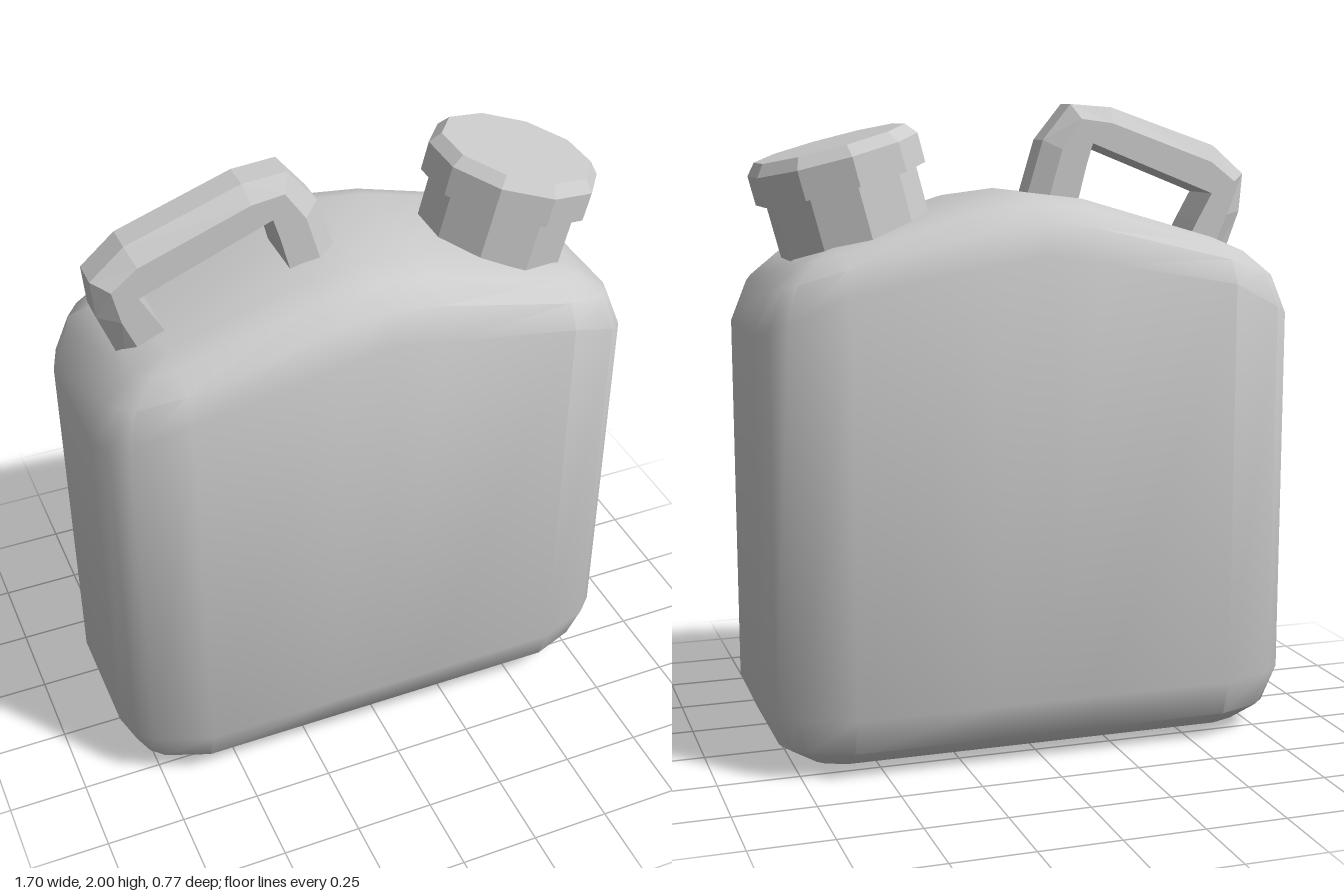
import * as THREE from 'three';
import { toCreasedNormals } from 'three/addons/utils/BufferGeometryUtils.js';

const smooth = new THREE.MeshStandardMaterial({ color: 0xcccccc });
const faceted = new THREE.MeshStandardMaterial({ color: 0xcccccc, flatShading: true });

// Piecewise-linear height over |x|
function heightAt(table, x) {
  const a = Math.abs(x);
  let i = 1;
  while (i < table.length - 1 && a > table[i][0]) i++;
  const [x0, y0] = table[i - 1], [x1, y1] = table[i];
  return y0 + (y1 - y0) * (a - x0) / (x1 - x0);
}

// Indexed geometry from points and quads, corners counter-clockwise from outside
function quadGeometry(points, quads) {
  const index = [];
  const same = (i, j) => points[i].distanceTo(points[j]) < 1e-6;
  for (const [a, b, c, d] of quads) {
    for (const [p, q, r] of [[a, b, c], [a, c, d]]) {
      if (!same(p, q) && !same(q, r) && !same(p, r)) index.push(p, q, r);
    }
  }
  const g = new THREE.BufferGeometry().setFromPoints(points);
  g.setIndex(index);
  return g;
}

// Rounded tank: one plan outline stacked in rings that round over at both ends
function tankGeometry() {
  const coreX = 0.6, coreZ = 0.19;
  const corner = [[0.25, 0], [0.22, 0.08], [0.17, 0.13], [0, 0.195]];
  const outline = [];
  const addCorner = (sx, sz, reverse) => {
    for (const [ox, oz] of reverse ? [...corner].reverse() : corner) {
      outline.push([sx * coreX, sz * coreZ, sx * ox, sz * oz]);
    }
  };
  const addEdge = (sx, sz) => {
    for (const x of [0.17, 0, -0.17]) outline.push([sx * x, sz * coreZ, 0, sz * 0.195]);
  };
  addCorner(1, -1, false);
  addEdge(1, -1);
  addCorner(-1, -1, true);
  addCorner(-1, 1, false);
  addEdge(-1, 1);
  addCorner(1, 1, true);

  const crest = [[0, 1.735], [0.17, 1.715], [0.6, 1.59], [0.79, 1.55], [0.85, 1.51]];
  const shoulder = [[0, 1.56], [0.17, 1.535], [0.6, 1.46], [0.85, 1.34]];
  const spread = [0, 0.42, 0.8, 1];
  const bottomY = [0, 0.03, 0.085, 0.2];
  const drop = [0, 0.15, 0.45, 1];
  const points = [];
  const addRing = (k, yOf) => {
    for (const [cx, cz, ox, oz] of outline) {
      const x = cx + ox * spread[k];
      points.push(new THREE.Vector3(x, yOf(x), cz + oz * spread[k]));
    }
  };
  for (let k = 0; k < 4; k++) addRing(k, () => bottomY[k]);
  for (let k = 3; k >= 0; k--) {
    addRing(k, x => THREE.MathUtils.lerp(heightAt(crest, x), heightAt(shoulder, x), drop[k]));
  }

  const n = outline.length, top = 7 * n, quads = [];
  for (let r = 0; r < 7; r++) {
    for (let i = 0; i < n; i++) {
      const j = (i + 1) % n;
      quads.push([r * n + i, r * n + j, (r + 1) * n + j, (r + 1) * n + i]);
    }
  }
  // Strips closing the arched top and the flat base
  for (let i = 3; i < 7; i++) {
    const strip = [i, i + 1, n - 2 - i, n - 1 - i];
    quads.push(strip.map(v => v + top), strip.reverse());
  }
  return toCreasedNormals(quadGeometry(points, quads), 0.62);
}

// Handle: chamfered bar swept through pairs of outer and inner points
function handleGeometry() {
  const stations = [
    [-0.69, 1.46, -0.53, 1.50],
    [-0.765, 1.66, -0.605, 1.64],
    [-0.775, 1.78, -0.65, 1.72],
    [-0.67, 1.87, -0.61, 1.736],
    [-0.32, 1.99, -0.29, 1.862],
    [-0.185, 2.0, -0.245, 1.88],
    [-0.095, 1.89, -0.225, 1.815],
    [-0.025, 1.66, -0.185, 1.66],
  ];
  // Section: depth from outer (0) to inner (1), and z
  const section = [[0, 0.045], [0.38, 0.088], [1, 0.088], [1, -0.088], [0.38, -0.088], [0, -0.045]];
  const points = [], quads = [], n = section.length;
  for (const [ox, oy, ix, iy] of stations) {
    for (const [t, z] of section) {
      points.push(new THREE.Vector3(ox + (ix - ox) * t, oy + (iy - oy) * t, z + 0.014));
    }
  }
  for (let s = 0; s < stations.length - 1; s++) {
    for (let i = 0; i < n; i++) {
      const j = (i + 1) % n;
      quads.push([s * n + i, s * n + j, (s + 1) * n + j, (s + 1) * n + i]);
    }
  }
  return quadGeometry(points, quads).toNonIndexed();
}

// Ten-sided turned part
function turned(profile) {
  return new THREE.LatheGeometry(profile.map(([r, y]) => new THREE.Vector2(r, y)), 10);
}

export function createModel() {
  const model = new THREE.Group();
  model.name = 'fuelCan';
  const add = (parent, name, geometry, material) => {
    const mesh = new THREE.Mesh(geometry, material);
    mesh.name = name;
    parent.add(mesh);
  };

  add(model, 'tank', tankGeometry(), smooth);

  const handle = handleGeometry();
  handle.computeVertexNormals();
  add(model, 'handle', handle, faceted);

  // Spout leaning outwards
  const spout = new THREE.Group();
  spout.name = 'spout';
  spout.position.set(0.54, 1.763, 0);
  spout.rotation.z = -0.262;
  add(spout, 'neck', turned([[0, -0.3], [0.235, -0.3], [0.235, 0.02]]), faceted);
  add(spout, 'cap', turned([[0, 0], [0.265, 0], [0.265, 0.09], [0.235, 0.125], [0, 0.125]]), faceted);
  model.add(spout);

  return model;
}
